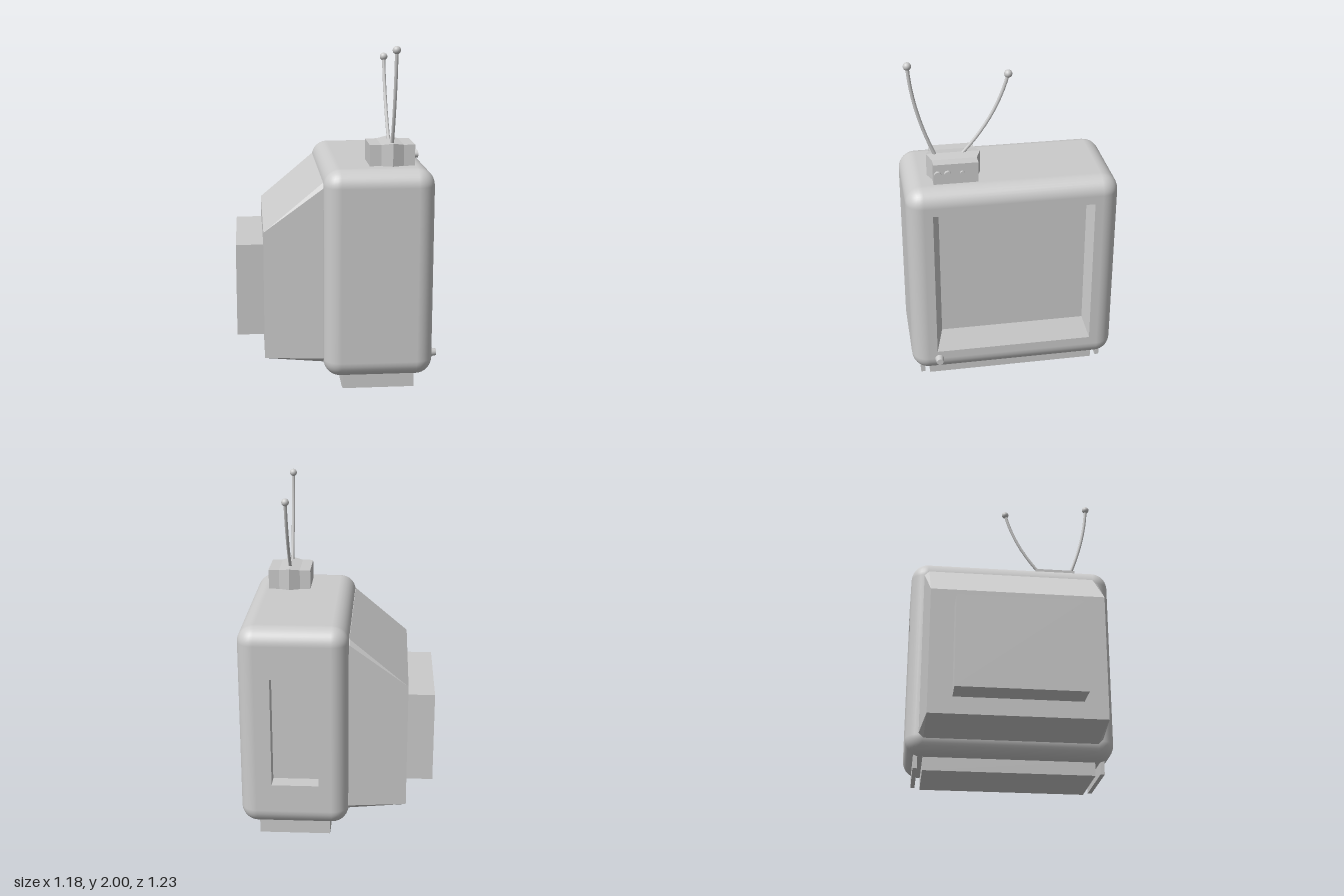
import * as THREE from 'three';
import { RoundedBoxGeometry } from 'three/addons/geometries/RoundedBoxGeometry.js';

const smooth = new THREE.MeshStandardMaterial({ color: 0xcccccc });
const flat = new THREE.MeshStandardMaterial({ color: 0xcccccc, flatShading: true });

function add(parent, name, geometry, material = smooth, x = 0, y = 0, z = 0) {
  const mesh = new THREE.Mesh(geometry, material);
  mesh.name = name;
  mesh.position.set(x, y, z);
  parent.add(mesh);
  return mesh;
}

function fromTriangles(points) {
  const g = new THREE.BufferGeometry().setFromPoints(points);
  g.computeVertexNormals();
  return g;
}

const quad = (a, b, c, d) => [a, b, c, a, c, d];

// Closed solid through loops stacked along +x (each counter-clockwise seen from +x)
function loft(loops) {
  const tris = [];
  const n = loops[0].length;
  for (let s = 0; s < loops.length - 1; s++) {
    const a = loops[s], b = loops[s + 1];
    for (let i = 0; i < n; i++) {
      const j = (i + 1) % n;
      tris.push(...quad(a[i], a[j], b[j], b[i]));
    }
  }
  const first = loops[0], last = loops[loops.length - 1];
  for (let i = 1; i < n - 1; i++) {
    tris.push(first[0], first[i + 1], first[i], last[0], last[i], last[i + 1]);
  }
  return fromTriangles(tris);
}

// Rectangle with chamfered corners in the plane x
function chamferedLoop(x, halfZ, y0, y1, c) {
  return [
    [halfZ, y0 + c], [halfZ - c, y0], [c - halfZ, y0], [-halfZ, y0 + c],
    [-halfZ, y1 - c], [c - halfZ, y1], [halfZ - c, y1], [halfZ, y1 - c],
  ].map(([z, y]) => new THREE.Vector3(x, y, z));
}

const corners = ([u0, v0, u1, v1], z) =>
  [[u0, v0], [u1, v0], [u1, v1], [u0, v1]].map(([u, v]) => new THREE.Vector3(u, v, z));

// Flat panel facing +z with a sunken rectangular pocket
function addPocketPanel(parent, name, w, h, outer, inner, depth) {
  const panel = new THREE.Group();
  panel.name = name;
  const shape = new THREE.Shape(corners([-w / 2, -h / 2, w / 2, h / 2], 0));
  shape.holes.push(new THREE.Path(corners(outer, 0).reverse()));
  add(panel, name + 'Frame', new THREE.ShapeGeometry(shape));
  const o = corners(outer, 0), n = corners(inner, -depth);
  const walls = [];
  for (let i = 0; i < 4; i++) {
    const j = (i + 1) % 4;
    walls.push(...quad(o[i], o[j], n[j], n[i]));
  }
  add(panel, name + 'Walls', fromTriangles(walls), flat);
  add(panel, name + 'Back', fromTriangles(quad(...n)), flat);
  parent.add(panel);
  return panel;
}

// Rounded shell without its flat +x and -z faces
function openShell(w, h, d, r) {
  const g = new RoundedBoxGeometry(w, h, d, 4, r);
  const p = g.attributes.position, nor = g.attributes.normal;
  const pos = [], normals = [];
  for (let t = 0; t < p.count; t += 3) {
    const ids = [t, t + 1, t + 2];
    if (ids.every(i => p.getX(i) > w / 2 - 1e-4)) continue;
    if (ids.every(i => p.getZ(i) < -d / 2 + 1e-4)) continue;
    for (const i of ids) {
      pos.push(p.getX(i), p.getY(i), p.getZ(i));
      normals.push(nor.getX(i), nor.getY(i), nor.getZ(i));
    }
  }
  const out = new THREE.BufferGeometry();
  out.setAttribute('position', new THREE.Float32BufferAttribute(pos, 3));
  out.setAttribute('normal', new THREE.Float32BufferAttribute(normals, 3));
  return out;
}

// Round control pointing along +x
function addKnob(parent, name, x, y, z, r0, r1, length) {
  const g = new THREE.CylinderGeometry(r1, r0, length, 16).rotateZ(-Math.PI / 2);
  add(parent, name, g, smooth, x + length / 2, y, z);
}

export function createModel() {
  const model = new THREE.Group();
  model.name = 'television';

  // Cabinet with the screen on +x and a grip pocket on -z
  const cabinet = new THREE.Group();
  cabinet.name = 'cabinet';
  cabinet.position.set(0.23, 0.695, 0);
  model.add(cabinet);
  const W = 0.64, H = 1.23, D = 1.23, R = 0.1;
  add(cabinet, 'cabinetShell', openShell(W, H, D, R));
  const screen = addPocketPanel(cabinet, 'screen', D - 2 * R, H - 2 * R,
    [-0.467, -0.465, 0.467, 0.467], [-0.43, -0.35, 0.43, 0.43], 0.065);
  screen.position.x = W / 2;
  screen.rotation.y = Math.PI / 2;
  const grip = [-0.13, -0.345, 0.145, 0.32];
  const pocket = addPocketPanel(cabinet, 'sidePocket', W - 2 * R, H - 2 * R, grip, grip, 0.095);
  pocket.position.z = -D / 2;
  pocket.rotation.y = Math.PI;

  // Tapered rear housing and the box behind it
  add(model, 'rearHousing', loft([
    chamferedLoop(-0.43, 0.507, 0.19, 0.945, 0),
    chamferedLoop(-0.09, 0.538, 0.16, 1.23, 0.028),
    chamferedLoop(-0.03, 0.538, 0.16, 1.23, 0.028),
  ]), flat);
  add(model, 'rearBox', new THREE.BoxGeometry(0.18, 0.55, 0.737), flat, -0.5, 0.565, 0);

  // Base slab with a thin runner on each side
  add(model, 'base', new THREE.BoxGeometry(0.42, 0.09, 1.015), flat, 0.23, 0.045, 0);
  for (const side of [-1, 1]) {
    add(model, 'baseRunner', new THREE.BoxGeometry(0.42, 0.09, 0.025), flat, 0.23, 0.055, side * 0.55);
  }

  addKnob(model, 'powerKnob', 0.545, 0.18, 0.457, 0.028, 0.02, 0.043);

  // Antenna box, bulging at its middle
  const sections = [[0.184, 0.128, 1.432], [0.25, 0.128, 1.432], [0.315, 0.155, 1.443],
    [0.38, 0.128, 1.432], [0.445, 0.128, 1.432]];
  add(model, 'antennaBox', loft(sections.map(([x, hz, top]) =>
    [[hz, 1.3], [-hz, 1.3], [-hz, top], [hz, top]].map(([z, y]) => new THREE.Vector3(x, y, 0.32 + z)))), flat);
  for (const [z, r, length] of [[0.424, 0.02, 0.022], [0.368, 0.02, 0.022], [0.285, 0.013, 0.015]]) {
    addKnob(model, 'antennaDial', 0.442, 1.374, z, r, r, length);
  }

  // Curved antenna rods with ball tips, as [z, y] start, control and end
  const rods = [
    [[0.417, 1.42], [0.545, 1.71], [0.56, 1.977]],
    [[0.28, 1.42], [0.07, 1.64], [0.003, 1.9]],
  ];
  for (const rod of rods) {
    const pts = rod.map(([z, y]) => new THREE.Vector3(0.315, y, z));
    add(model, 'antennaRod', new THREE.TubeGeometry(new THREE.QuadraticBezierCurve3(...pts), 12, 0.01, 8));
    add(model, 'antennaTip', new THREE.SphereGeometry(0.023, 16, 12), smooth, ...pts[2].toArray());
  }
  return model;
}
